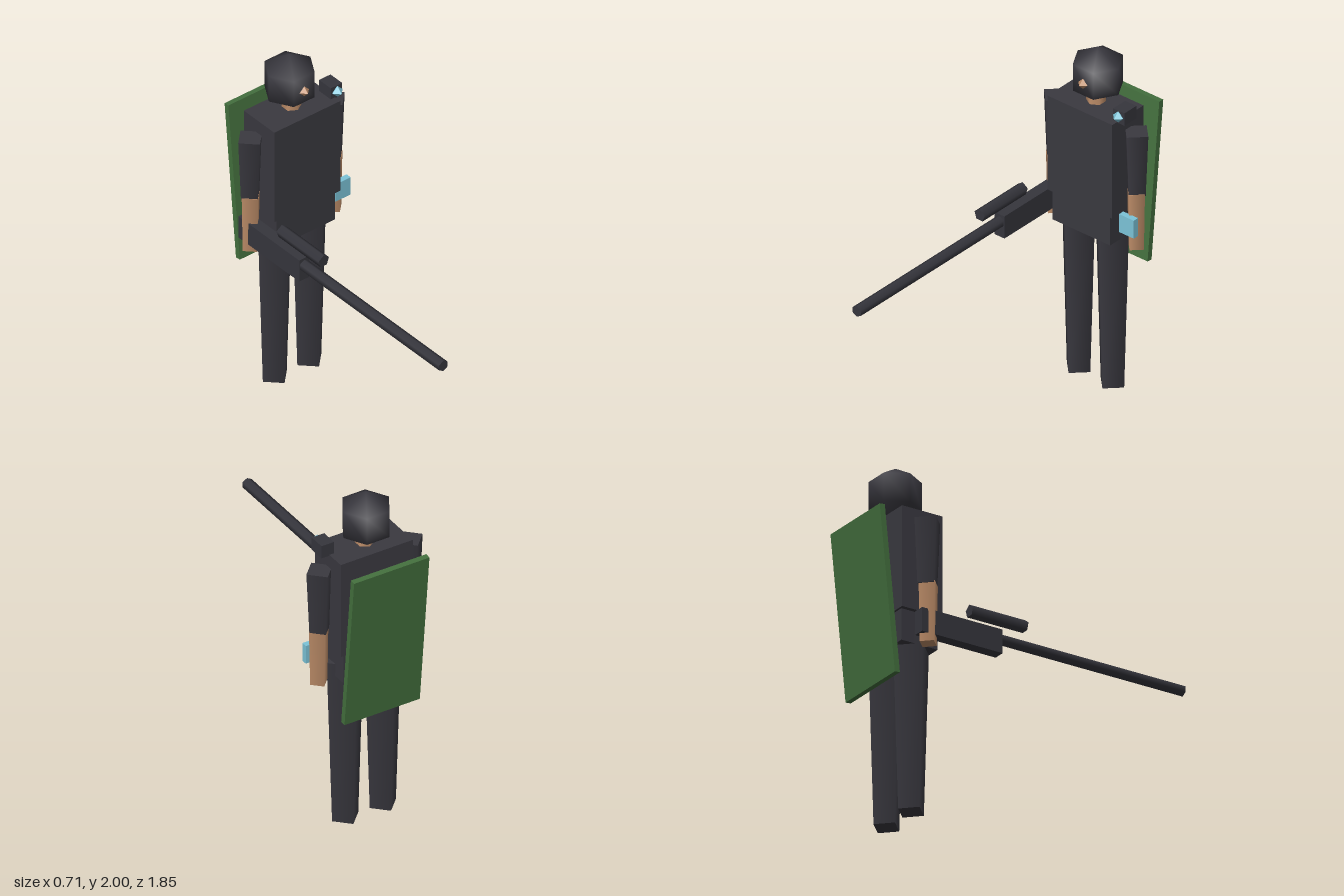
import * as THREE from 'three';

export function createModel() {
  const model = new THREE.Group();
  const mat = (name, color) => {
    const m = new THREE.MeshStandardMaterial({ color });
    m.name = name;
    return m;
  };
  const cloth = mat('charcoal cloth', 0x3a3940);
  const metal = mat('gun metal', 0x36363d);
  const skin = mat('skin', 0xc08f6a);
  const cyan = mat('cyan', 0x7cc4d8);
  const green = mat('shield green', 0x44703e);

  const add = (name, geometry, material, x, y, z) => {
    const mesh = new THREE.Mesh(geometry, material);
    mesh.name = name;
    mesh.position.set(x, y, z);
    model.add(mesh);
    return mesh;
  };
  // box given by its centre and size
  const box = (name, material, x, y, z, w, h, d) =>
    add(name, new THREE.BoxGeometry(w, h, d), material, x, y, z);
  // four-sided tapered limb with corners on the axes
  const limb = (name, material, x, z, y0, y1, rBottom, rTop) =>
    add(name, new THREE.CylinderGeometry(rTop, rBottom, y1 - y0, 4), material, x, (y0 + y1) / 2, z);
  // rod lying along z
  const rod = (name, x, y, z0, z1, r, sides) => {
    const g = new THREE.CylinderGeometry(r, r, z1 - z0, sides).rotateX(-Math.PI / 2);
    return add(name, g, metal, x, y, (z0 + z1) / 2);
  };

  // body
  box('torso', cloth, 0, 1.392, -0.65, 0.44, 0.575, 0.25);
  box('pelvis', cloth, 0, 1.015, -0.65, 0.39, 0.18, 0.225);
  add('neck', new THREE.CylinderGeometry(0.052, 0.052, 0.12, 6), skin, 0, 1.72, -0.655);

  // helmeted head and nose
  add('head', new THREE.SphereGeometry(0.16, 6, 3), cloth, 0, 1.84, -0.67);
  add('nose', new THREE.OctahedronGeometry(0.036), skin, 0, 1.83, -0.555);

  // limbs on both sides
  for (const [side, s] of [['left', 1], ['right', -1]]) {
    limb(side + 'Leg', cloth, s * 0.115, -0.65, 0, 1.0, 0.08, 0.113);
    limb(side + 'UpperArm', cloth, s * 0.275, -0.655, 1.23, 1.6, 0.062, 0.08);
    limb(side + 'Forearm', skin, s * 0.276, -0.65, 0.9, 1.24, 0.053, 0.06);
  }

  // shoulder lamp and wrist screen on the left
  box('shoulderLampBody', metal, 0.229, 1.712, -0.615, 0.076, 0.076, 0.096);
  add('shoulderLampLens', new THREE.OctahedronGeometry(0.034), cyan, 0.23, 1.717, -0.56);
  box('wristScreen', cyan, 0.277, 1.06, -0.588, 0.1, 0.11, 0.034);

  // rifle in the right hand
  box('rifleReceiver', metal, -0.277, 1.013, -0.46, 0.066, 0.135, 0.5);
  rod('rifleBarrel', -0.277, 1.037, -0.25, 0.93, 0.032, 6);
  rod('rifleScope', -0.277, 1.152, -0.395, -0.05, 0.036, 5);

  // tilted shield on the back
  box('backShield', green, 0, 1.183, -0.858, 0.46, 0.94, 0.032).rotation.x = -0.1;

  return model;
}
